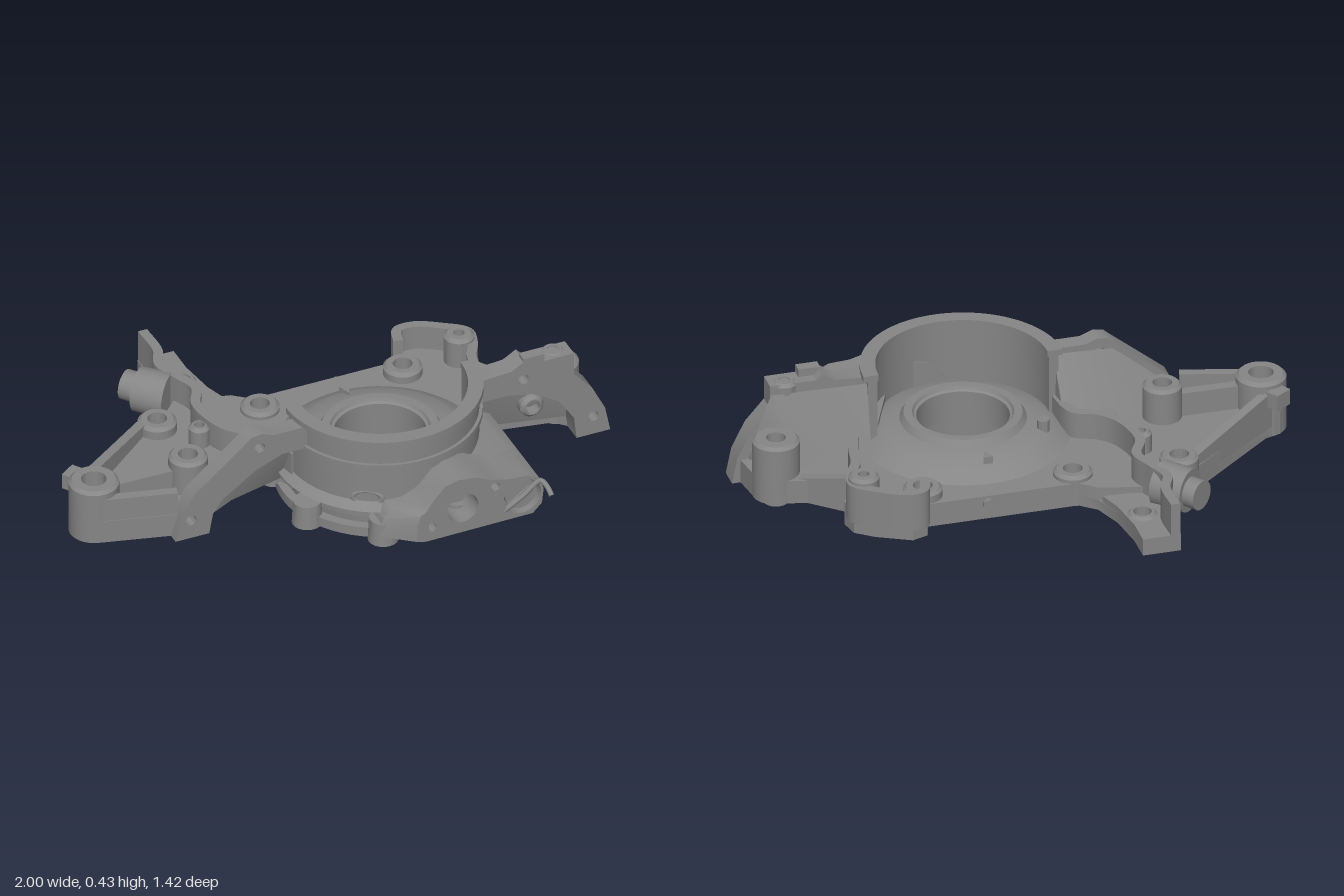
import * as THREE from 'three';
import { toCreasedNormals } from 'three/addons/utils/BufferGeometryUtils.js';
import { ConvexGeometry } from 'three/addons/geometries/ConvexGeometry.js';

const CX = 0.16, CZ = 0.16; // bore centre

export function createModel() {
  const model = new THREE.Group();
  model.name = 'pumpHousing';
  const metal = new THREE.MeshStandardMaterial({ color: 0x868686 });
  metal.name = 'castGrey';

  const add = (name, geo, x = 0, y = 0, z = 0, crease = true) => {
    const mesh = new THREE.Mesh(crease ? toCreasedNormals(geo, 0.6) : geo, metal);
    mesh.name = name;
    mesh.position.set(x, y, z);
    model.add(mesh);
    return mesh;
  };
  const shapeOf = pts => new THREE.Shape(pts.map(p => new THREE.Vector2(p[0], p[1])));
  const plan = pts => shapeOf(pts.map(([x, z]) => [x, -z]));
  const circle = (x, y, r) => new THREE.Path().absarc(x, y, r, 0.07, Math.PI * 2 + 0.07, false);
  // plan shape raised from y0 to y1
  const raise = (name, shape, y0, y1) => add(name, new THREE.ExtrudeGeometry(shape,
    { depth: y1 - y0, bevelEnabled: false, curveSegments: 32 }).rotateX(-Math.PI / 2), 0, y0, 0);
  // front shape pushed from z0 to z1
  const push = (name, shape, z0, z1) => add(name, new THREE.ExtrudeGeometry(shape,
    { depth: z1 - z0, bevelEnabled: false, curveSegments: 24 }), 0, 0, z0);
  // hollow round boss
  const tube = (name, x, z, R, r, y0, y1) => add(name, new THREE.LatheGeometry([
    [r, y0], [R, y0], [R, y1 - 0.012], [R - 0.012, y1], [r, y1], [r, y0],
  ].map(p => new THREE.Vector2(...p)), 36), x, 0, z);
  // upright wall of even thickness along a plan path
  const wall = (name, path, t, y0, y1, n = 24) => {
    const curve = new THREE.CatmullRomCurve3(path.map(([x, z]) => new THREE.Vector3(x, 0, z)));
    const a = [], b = [];
    for (let i = 0; i <= n; i++) {
      const p = curve.getPoint(i / n), d = curve.getTangent(i / n);
      a.push([p.x - d.z * t / 2, p.z + d.x * t / 2]);
      b.unshift([p.x + d.z * t / 2, p.z - d.x * t / 2]);
    }
    return raise(name, plan([...a, ...b]), y0, y1);
  };
  // round bar between two points
  const bar = (name, a, b, r0, r1 = r0) => {
    const p = new THREE.Vector3(...a), q = new THREE.Vector3(...b);
    const d = q.clone().sub(p);
    const m = add(name, new THREE.CylinderGeometry(r1, r0, d.length(), 32));
    m.position.copy(p).add(q).multiplyScalar(0.5);
    m.quaternion.setFromUnitVectors(new THREE.Vector3(0, 1, 0), d.normalize());
    return m;
  };
  const hull = (name, pts) => add(name, new ConvexGeometry(pts.map(p => new THREE.Vector3(...p))));
  // rib with a sloping top: ends are [x, z, top]
  const rib = (name, a, b, t, y0) => {
    const n = new THREE.Vector2(b[1] - a[1], a[0] - b[0]).setLength(t / 2);
    return hull(name, [a, b].flatMap(([x, z, top]) => [-1, 1].flatMap(s =>
      [y0, top].map(y => [x + s * n.x, y, z + s * n.y]))));
  };

  // Bosses: x, z, outer radius, hole radius, bottom, top
  const bosses = [
    [-0.91, 0.077, 0.09, 0.045, 0.04, 0.255], [-0.55, 0.086, 0.07, 0.035, 0.04, 0.265],
    [-0.51, -0.27, 0.07, 0.035, 0.04, 0.175], [-0.3, -0.53, 0.055, 0.033, 0.04, 0.115],
    [-0.13, -0.232, 0.07, 0.035, 0.04, 0.155], [0.42, -0.228, 0.07, 0.035, 0.04, 0.17],
    [0.635, -0.222, 0.055, 0.02, 0.04, 0.245], [0.87, 0.082, 0.085, 0.035, 0.04, 0.265],
  ];
  bosses.forEach(b => tube('boltBoss', ...b));
  tube('blindBoss', -0.41, -0.13, 0.038, 0.018, 0.1, 0.21);
  [bosses[1], bosses[7]].forEach(([x, z]) => tube('dowelSleeve', x, z, 0.045, 0.035, 0.01, 0.06));

  // Housing floor, low pickup port and the mounting flange beneath
  const notch = [];
  for (let i = 0; i <= 30; i++) {
    const a = 0.134 - (Math.PI + 0.268) * i / 30;
    notch.push([CX + 0.3 * Math.cos(a), CZ + 0.3 * Math.sin(a)]);
  }
  const armSide = [[-0.995, 0.1], [-0.99, 0.04], [-0.96, 0.0], [-0.9, -0.02], [-0.57, -0.3], [-0.52, -0.335],
    [-0.45, -0.34], [-0.39, -0.4]];
  const port = [[-0.39, -0.71], [-0.25, -0.71], [-0.25, -0.6], [-0.23, -0.46]];
  const rest = [[-0.19, -0.35], [-0.13, -0.3], [0.42, -0.3], [0.44, -0.36], [0.5, -0.38], [0.62, -0.32], [0.685, -0.27],
    [0.7, -0.2], [0.66, -0.12], [0.73, -0.03], [0.86, 0.0], [0.95, 0.06], [0.97, 0.2], [0.88, 0.2], [0.83, 0.15],
    [0.56, 0.1], [0.52, 0.11], ...notch, [-0.2, 0.1], [-0.28, 0.06], [-0.5, 0.17], [-0.54, 0.2],
    [-0.66, 0.2], [-0.66, 0.235], [-0.93, 0.165]];
  const drilled = (pts, holes) => {
    const s = plan(pts);
    holes.forEach(([x, z, , r]) => s.holes.push(circle(x, -z, r)));
    return s;
  };
  raise('housingFloor', drilled([...armSide, ...rest], bosses.filter((b, i) => i !== 3)), 0.08, 0.13);
  raise('portFloor', drilled([[-0.39, -0.38], ...port, [-0.2, -0.37]], [bosses[3]]), 0.08, 0.105);
  const flange = drilled([...armSide, ...port, ...rest], bosses);
  [
    [[-0.8, 0.06], [-0.56, -0.16], [-0.46, -0.08], [-0.64, 0.03], [-0.64, 0.14]],
    [[-0.45, 0.1], [-0.44, 0.0], [-0.4, -0.05], [-0.28, -0.08], [-0.28, 0.02]],
    [[0.57, -0.08], [0.6, -0.1], [0.69, 0.035], [0.57, 0.06]],
  ].forEach(p => flange.holes.push(new THREE.Path(p.map(([x, z]) => new THREE.Vector2(x, -z)))));
  raise('mountingFlange', flange, 0.04, 0.08);

  // Pump body with shaft bore and raised seal seat
  add('pumpBody', new THREE.LatheGeometry([
    [0.19, 0.03], [0.34, 0.03], [0.345, 0.1], [0.385, 0.125], [0.34, 0.155], [0.29, 0.185], [0.225, 0.195],
    [0.21, 0.22], [0.18, 0.22], [0.175, 0.21], [0.165, 0.205], [0.165, 0.09], [0.19, 0.09], [0.19, 0.03],
  ].map(p => new THREE.Vector2(...p)), 64), CX, 0, CZ);

  // Half-round pulley shroud with two lips
  const halfRing = (name, r0, r1, y0, y1) => {
    const s = new THREE.Shape();
    s.absarc(CX, -CZ, r1, Math.PI, Math.PI * 2, false);
    s.absarc(CX, -CZ, r0, Math.PI * 2, Math.PI, true);
    raise(name, s, y0, y1);
  };
  halfRing('shroudWall', 0.315, 0.35, 0.08, 0.4);
  halfRing('shroudLowerLip', 0.32, 0.362, 0.292, 0.312);
  halfRing('shroudUpperLip', 0.31, 0.365, 0.39, 0.413);

  // Rear cover with screw ears
  const cover = new THREE.Shape();
  cover.absarc(CX, -CZ, 0.375, 0, Math.PI * 2, false);
  cover.holes.push(circle(CX, -CZ, 0.19));
  raise('rearCover', cover, 0.012, 0.05);
  for (let i = 0; i < 8; i++) {
    const a = (i + 0.5) * Math.PI / 4;
    const x = CX + 0.375 * Math.cos(a), z = CZ + 0.375 * Math.sin(a);
    bar('coverEar', [x, 0.008, z], [x, 0.1, z], 0.055, 0.05);
  }

  // Arched front sealing walls
  const rightArch = shapeOf([[-0.68, 0.04], [-0.655, 0.13], [-0.61, 0.22], [-0.5, 0.31], [-0.42, 0.375], [-0.385, 0.405],
    [-0.345, 0.41], [-0.3, 0.392], [-0.17, 0.392], [-0.17, 0.3], [-0.27, 0.3], [-0.37, 0.26], [-0.5, 0.17],
    [-0.535, 0.12], [-0.55, 0.04]]);
  rightArch.holes.push(circle(-0.355, 0.352, 0.02), circle(-0.62, 0.115, 0.02));
  push('frontWallRight', rightArch, 0.205, 0.27);
  const leftArch = shapeOf([[0.5, 0.392], [0.62, 0.4], [0.67, 0.43], [0.69, 0.41], [0.86, 0.41], [0.86, 0.32],
    [0.93, 0.24], [0.98, 0.14], [1, 0.04], [0.87, 0.04], [0.86, 0.13], [0.8, 0.22], [0.7, 0.28], [0.6, 0.3], [0.5, 0.3]]);
  leftArch.holes.push(circle(0.665, 0.352, 0.02), circle(0.935, 0.115, 0.02));
  push('frontWallLeft', leftArch, 0.19, 0.27);
  add('locatingTab', new THREE.BoxGeometry(0.08, 0.05, 0.04), 0.705, 0.415, 0.25);
  tube('frontWallBoss', 0.8, 0.22, 0.045, 0.02, 0.27, 0.414);

  // Sloped castings that fall from the front walls to the floor, hollow in front
  hull('slopedCastingRight', [[-0.4, 0.365, 0.2], [-0.18, 0.38, 0.19], [-0.4, 0.33, 0.23], [-0.18, 0.34, 0.22],
    [-0.61, 0.19, 0.21], [-0.62, 0.12, 0.16], [-0.27, 0.12, 0.03], [-0.19, 0.12, 0.05],
    [-0.58, 0.08, 0.21], [-0.28, 0.08, 0.07], [-0.18, 0.08, 0.11]]);
  hull('slopedCastingLeft', [[0.51, 0.38, 0.17], [0.86, 0.38, 0.18], [0.51, 0.34, 0.21], [0.86, 0.34, 0.21],
    [0.94, 0.17, 0.18], [0.52, 0.12, 0.07], [0.78, 0.12, 0.09], [0.94, 0.08, 0.2], [0.52, 0.08, 0.11], [0.8, 0.08, 0.14]]);
  const sensor = tube('frontSensorBoss', 0.72, 0.15, 0.045, 0.028, 0, 0.08);
  sensor.rotation.x = Math.PI / 2;
  sensor.position.y = 0.19;

  // Side arm ribs
  rib('armRearRib', [-0.93, 0.015, 0.22], [-0.56, -0.28, 0.17], 0.035, 0.08);
  rib('armMiddleRib', [-0.84, 0.08, 0.22], [-0.61, 0.084, 0.22], 0.04, 0.08);
  rib('armFrontRib', [-0.92, 0.147, 0.22], [-0.65, 0.217, 0.22], 0.035, 0.08);
  add('armLug', new THREE.BoxGeometry(0.07, 0.06, 0.05).rotateY(0.6), -0.945, 0.2, -0.025);

  // Winding gasket wall from the pickup port to the shroud
  wall('gasketWall', [[-0.37, -0.71], [-0.37, -0.58], [-0.4, -0.5], [-0.37, -0.41], [-0.34, -0.32], [-0.38, -0.22],
    [-0.35, -0.07], [-0.29, 0.0], [-0.21, 0.04], [-0.18, 0.19]], 0.035, 0.08, 0.23, 60);
  wall('rearLeftWall', [[0.43, -0.29], [0.455, -0.355], [0.52, -0.36], [0.61, -0.31], [0.68, -0.25], [0.67, -0.18],
    [0.63, -0.1], [0.61, 0.0], [0.58, 0.1]], 0.035, 0.08, 0.225, 50);
  rib('leftBossWeb', [0.64, -0.12, 0.18], [0.8, 0.02, 0.13], 0.035, 0.04);

  // Angled plug beside the pickup port
  bar('angledPlugBody', [-0.4, 0.15, -0.41], [-0.485, 0.15, -0.495], 0.085, 0.08);
  bar('angledPlugCap', [-0.47, 0.15, -0.485], [-0.515, 0.15, -0.54], 0.055);

  // Floor details
  bar('floorStud', [-0.335, 0.11, 0.06], [-0.335, 0.19, 0.06], 0.042, 0.038);
  bar('locatingPeg', [-0.095, 0.11, 0.025], [-0.095, 0.22, 0.025], 0.022);
  bar('rearEdgePin', [0.2, 0.1, -0.29], [0.2, 0.1, -0.315], 0.02);
  raise('timingMark', plan([[0.14, -0.15], [0.175, -0.15], [0.158, -0.1]]), 0.14, 0.2);

  // Relief valve block, narrowed at its front corner
  const valve = shapeOf([[-0.02, 0.05], [0, 0.12], [0.03, 0.155], [0.09, 0.165], [0.15, 0.2], [0.2, 0.255], [0.25, 0.27],
    [0.32, 0.262], [0.38, 0.235], [0.44, 0.218], [0.52, 0.213], [0.565, 0.19], [0.582, 0.14], [0.575, 0.08],
    [0.54, 0.045], [0.1, 0.04]]);
  valve.holes.push(circle(0.27, 0.145, 0.06), circle(0.15, 0.095, 0.018), circle(0.395, 0.2, 0.018), circle(0.5, 0.13, 0.072));
  const block = new THREE.ExtrudeGeometry(valve, { depth: 0.17, steps: 2, bevelEnabled: false });
  const p = block.attributes.position;
  for (let i = 0; i < p.count; i++) {
    const x = p.getX(i);
    if (p.getZ(i) > 0.16 && x < 0.14) p.setX(i, 0.09 + (x + 0.02) * 0.05 / 0.16);
  }
  add('reliefValveBlock', block, 0, 0, 0.46);
  hull('valveShoulder', [[0.2, 0.46], [0.48, 0.34]].flatMap(([z, x]) => [[x, 0.05, z], [0.54, 0.045, z],
    [0.575, 0.08, z], [0.582, 0.14, z], [0.565, 0.19, z], [0.52, 0.213, z], [x, 0.2, z]]));
  bar('valvePlug', [0.5, 0.13, 0.47], [0.5, 0.13, 0.615], 0.06);
  add('plugSlot', new THREE.BoxGeometry(0.11, 0.014, 0.014).rotateZ(0.6), 0.5, 0.13, 0.618);
  bar('valvePassage', [0.27, 0.145, 0.46], [0.27, 0.145, 0.53], 0.062);
  add('splitPin', new THREE.TubeGeometry(new THREE.CatmullRomCurve3([[0.43, 0.08, 0.622], [0.5, 0.13, 0.63],
    [0.565, 0.185, 0.64], [0.577, 0.175, 0.67], [0.58, 0.155, 0.705]].map(q => new THREE.Vector3(...q))), 30, 0.01, 8),
  0, 0, 0, false);

  // Oval oil port on the front of the body
  add('oilPortRim', new THREE.TorusGeometry(0.03, 0.007, 10, 28).scale(1.7, 0.9, 1.2).rotateY(-0.55), -0.02, 0.16, 0.452, false);
  return model;
}
